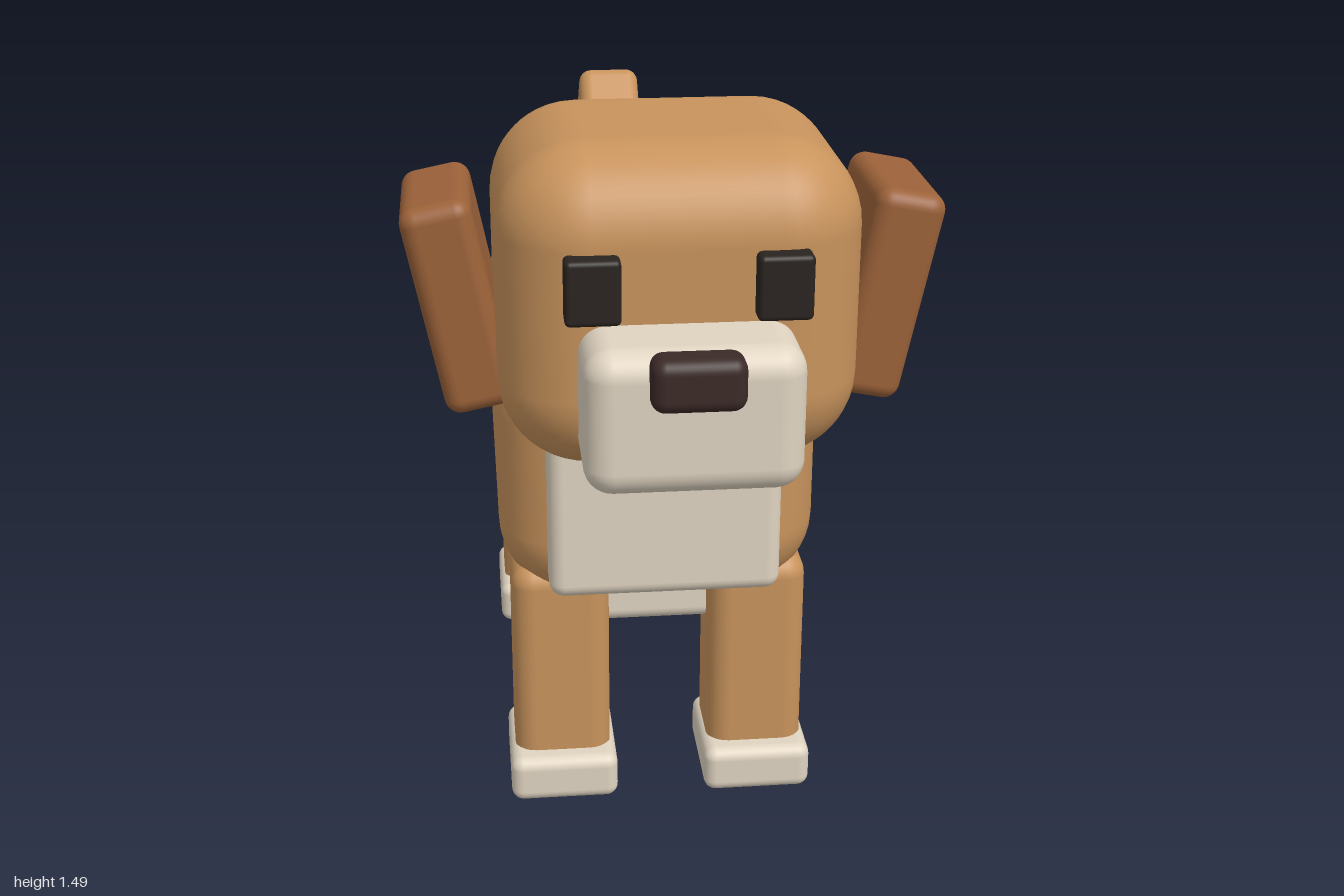
import * as THREE from 'three';
import { RoundedBoxGeometry } from 'three/addons/geometries/RoundedBoxGeometry.js';

const mat = (color) => new THREE.MeshStandardMaterial({ color });

export function createModel() {
  const dog = new THREE.Group();
  dog.name = 'dog';
  const tan = mat(0xc8935c), brown = mat(0x9c6239), cream = mat(0xe0d4c1);
  const black = mat(0x2a2420), noseDark = mat(0x3b2a27);

  // Rounded block given by its size, centre and edge radius
  function block(name, material, [w, h, d], [x, y, z], radius, segments = 4) {
    const mesh = new THREE.Mesh(new RoundedBoxGeometry(w, h, d, segments, radius), material);
    mesh.name = name;
    mesh.position.set(x, y, z);
    dog.add(mesh);
    return mesh;
  }

  // Trunk with pale chest and belly patches
  block('body', tan, [0.646, 0.565, 1.1], [0, 0.718, -0.11], 0.16, 6);
  block('chest', cream, [0.46, 0.45, 0.1], [0, 0.73, 0.44], 0.03);
  block('belly', cream, [0.54, 0.12, 0.86], [0, 0.416, -0.11], 0.03);

  // Head and face
  block('head', tan, [0.646, 0.592, 0.57], [0, 1.191, 0.528], 0.16, 6);
  block('muzzle', cream, [0.376, 0.26, 0.24], [0, 1.07, 0.845], 0.05);
  block('nose', noseDark, [0.16, 0.095, 0.075], [0, 1.153, 0.962], 0.025);

  // Paired parts
  for (const [side, s] of [['left', 1], ['right', -1]]) {
    block(`${side}Eye`, black, [0.096, 0.116, 0.05], [s * 0.163, 1.267, 0.823], 0.01);
    const ear = block(`${side}Ear`, brown, [0.13, 0.395, 0.295], [s * 0.388, 1.17, 0.492], 0.03);
    ear.rotation.z = -s * 0.2;

    for (const [end, z] of [['Front', 0.29], ['Rear', -0.49]]) {
      block(`${side}${end}Leg`, tan, [0.2, 0.47, 0.2], [s * 0.203, 0.285, z], 0.045);
      block(`${side}${end}Paw`, cream, [0.223, 0.1, 0.248], [s * 0.203, 0.05, z + 0.02], 0.025);
    }
  }

  // Tail raised backwards
  const tail = block('tail', tan, [0.146, 0.48, 0.14], [0, 1.043, -0.79], 0.03);
  tail.rotation.x = -0.79;

  return dog;
}
